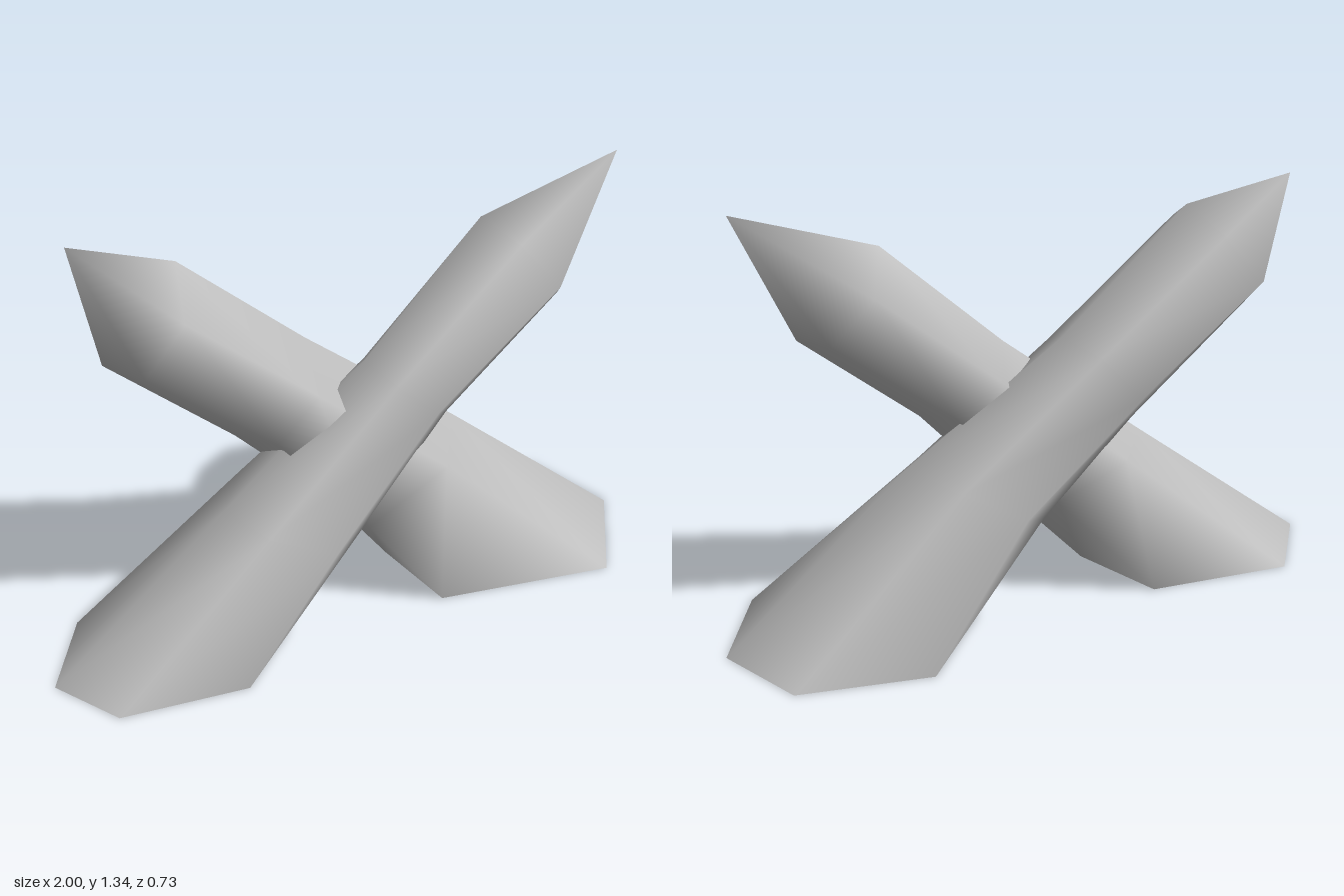
import * as THREE from 'three';

// Skin hexagonal rings (base to top) and close them with a pointed tip; the base stays open.
function spike(name, rings, tip, flip, material) {
  const n = rings[0].length;
  const loops = rings.map(r => (flip ? [...r].reverse() : r));
  const position = [...loops.flat(2), ...tip];
  const tipIndex = loops.length * n;
  const index = [];
  for (let k = 0; k < loops.length; k++) {
    for (let i = 0; i < n; i++) {
      const a = k * n + i, b = k * n + (i + 1) % n;
      if (k === loops.length - 1) index.push(a, b, tipIndex);
      else index.push(a, b, b + n, a, b + n, a + n);
    }
  }
  const geometry = new THREE.BufferGeometry();
  geometry.setAttribute('position', new THREE.Float32BufferAttribute(position, 3));
  geometry.setIndex(index);
  geometry.computeVertexNormals();
  const mesh = new THREE.Mesh(geometry, material);
  mesh.name = name;
  return mesh;
}

export function createModel() {
  const group = new THREE.Group();
  group.name = 'crossedStakes';
  const grey = new THREE.MeshStandardMaterial({ color: 0xc0c0c0, side: THREE.DoubleSide });
  grey.name = 'stakeGrey';

  // Each ring runs: top, upper front, lower front, bottom, lower back, upper back
  const frontRings = [
    [[-1, 0, 0.02], [-0.9, 0, 0.25], [-0.5, 0, 0.32], [-0.27, 0, 0.14], [-0.35, 0, -0.18], [-0.8, 0, -0.24]],
    [[-0.42, 0.45, 0.04], [-0.37, 0.43, 0.22], [-0.17, 0.33, 0.27], [0, 0.28, 0.13], [-0.05, 0.33, -0.1], [-0.27, 0.44, -0.14]],
    [[0.06, 0.83, 0.05], [0.09, 0.8, 0.19], [0.21, 0.69, 0.23], [0.31, 0.61, 0.12], [0.27, 0.65, -0.04], [0.13, 0.75, -0.075]],
    [[0.47, 1.2, 0.04], [0.5, 1.17, 0.21], [0.62, 1.02, 0.255], [0.7, 0.92, 0.13], [0.67, 0.95, -0.05], [0.55, 1.09, -0.1]],
  ];
  const backRings = [
    [[1, 0, 0.04], [0.78, 0, 0.36], [0.24, 0, 0.23], [0.22, 0, -0.075], [0.51, 0, -0.365], [0.92, 0, -0.27]],
    [[0.41, 0.505, 0], [0.28, 0.45, 0.18], [0.02, 0.3, 0.15], [0, 0.29, -0.1], [0.15, 0.38, -0.27], [0.36, 0.5, -0.25]],
    [[-0.06, 0.87, -0.1], [-0.13, 0.79, 0.1], [-0.25, 0.64, 0.07], [-0.29, 0.58, -0.13], [-0.25, 0.69, -0.26], [-0.11, 0.84, -0.25]],
    [[-0.47, 1.23, -0.13], [-0.54, 1.13, 0.06], [-0.66, 0.97, 0.03], [-0.7, 0.93, -0.17], [-0.62, 1.02, -0.33], [-0.5, 1.17, -0.3]],
  ];
  group.add(spike('frontStake', frontRings, [0.91, 1.34, 0.11], false, grey));
  group.add(spike('backStake', backRings, [-0.77, 1.31, -0.23], true, grey));
  return group;
}
